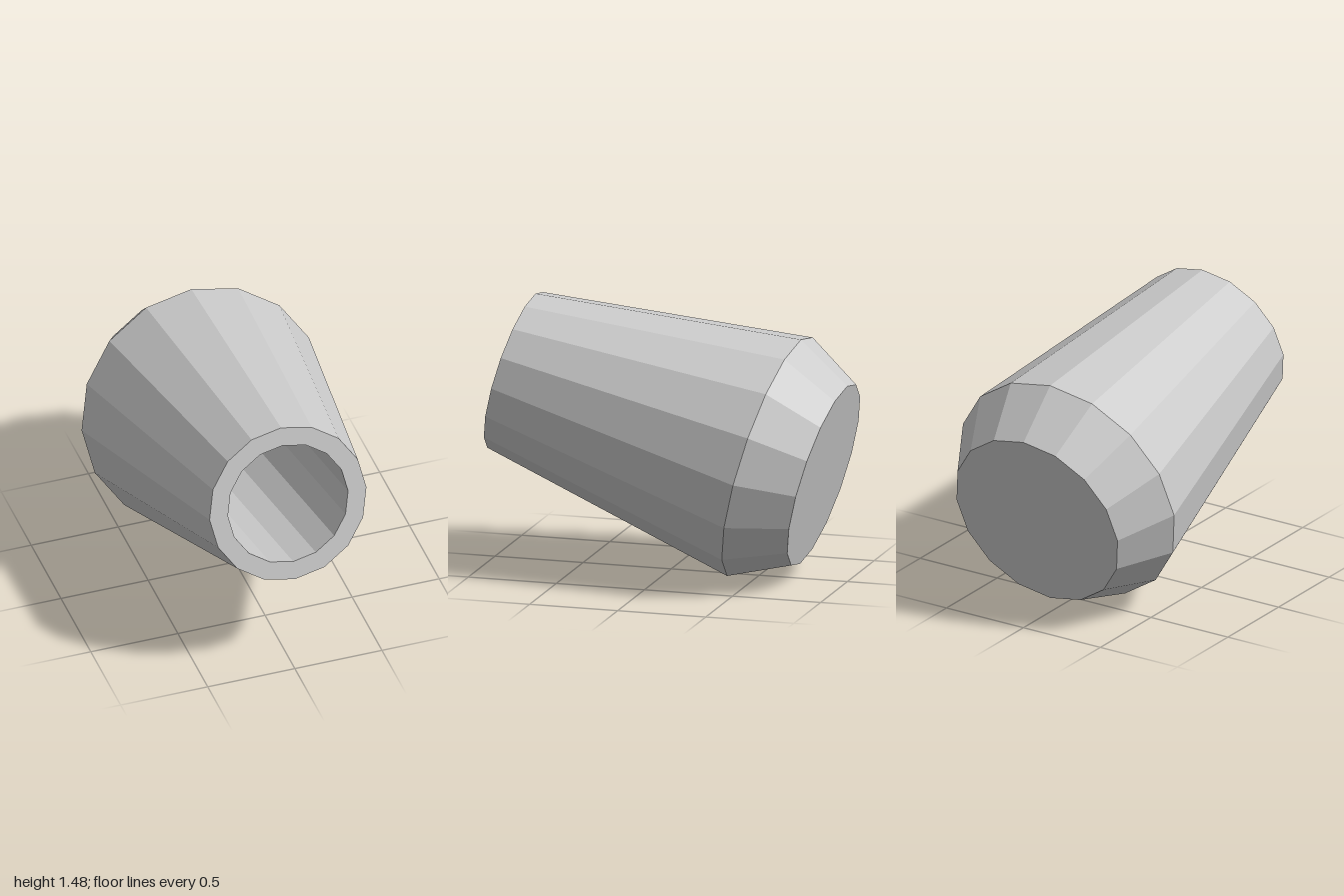
import * as THREE from 'three';

const SIDES = 16;
const TILT = Math.atan2(0.3825, 1.445); // upward lean of the mouth

export function createModel() {
  const group = new THREE.Group();
  group.name = 'tiltedCup';

  // Closed profile: back cap, bevel, tapering wall, rim, straight bore, bore floor
  const profile = [
    [0, -0.316], [0.523, -0.316], [0.69, 0], [0.45, 1.495],
    [0.345, 1.495], [0.345, -0.055], [0, -0.055],
  ].map(([r, y]) => new THREE.Vector2(r, y));

  const geometry = new THREE.LatheGeometry(profile, SIDES).toNonIndexed();
  geometry.computeVertexNormals();

  const cup = new THREE.Mesh(
    geometry,
    new THREE.MeshStandardMaterial({ color: 0xcccccc, flatShading: true })
  );
  cup.name = 'cupBody';
  // Lay the axis toward the front with the mouth raised
  cup.rotation.x = Math.PI / 2 - TILT;
  cup.position.set(0, 0.67, -0.56);
  group.add(cup);
  return group;
}
